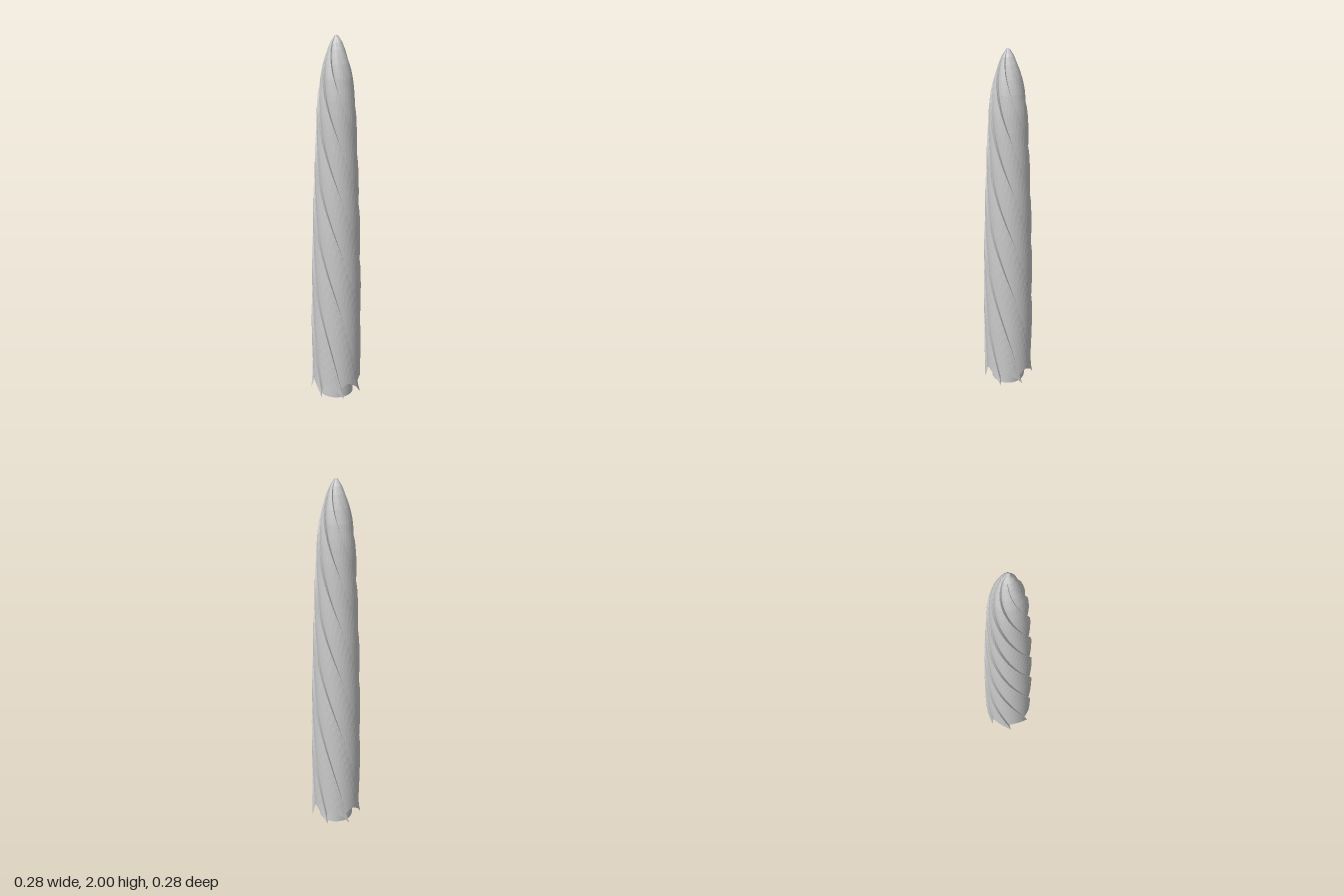
import * as THREE from 'three';

const PETALS = 7, ROWS = 44;
const PITCH = (Math.PI * 2) / PETALS;

// outer radius by height: [y, r]
const PROFILE = [
  [0, 0.136], [0.4, 0.137], [0.7, 0.134], [1, 0.127], [1.2, 0.12], [1.4, 0.111], [1.6, 0.102],
  [1.7, 0.095], [1.8, 0.082], [1.87, 0.065], [1.93, 0.045], [1.97, 0.028], [1.99, 0.017], [2, 0.008],
];
// one petal: [share of pitch, inward drop, height of the lower edge]
const SECTION = [
  [0, 0.75, 0.08], [0.15, 0.5, 0.095], [0.32, 0.25, 0.1], [0.5, 0.08, 0.085],
  [0.7, 0, 0.06], [0.88, 0, 0.015], [0.9, 1, 0.07],
];

function radiusAt(y) {
  let i = 1;
  while (i < PROFILE.length - 1 && PROFILE[i][0] < y) i++;
  const [y0, r0] = PROFILE[i - 1], [y1, r1] = PROFILE[i];
  return THREE.MathUtils.mapLinear(y, y0, y1, r0, r1);
}
const twistAt = (y) => 1.6 * y + 0.65 * y * y;

// saw-toothed, twisted and tapering skin with a pointed lower hem
function skinGeometry() {
  const pos = [], index = [];
  const cols = PETALS * SECTION.length;
  for (let j = 0; j <= ROWS; j++) {
    const t = j / ROWS;
    const v = 0.75 * t + 0.25 * Math.sin(t * Math.PI / 2); // closer rows near the tip
    for (let i = 0; i < cols; i++) {
      const [u, drop, hem] = SECTION[i % SECTION.length];
      const petal = Math.floor(i / SECTION.length);
      const y = hem + (2 - hem) * v;
      const outer = radiusAt(y);
      const depth = Math.min(0.011 + 0.003 * y, outer * 0.2);
      const flare = drop === 0 ? Math.max(0, 0.08 - y) * 0.12 : 0;
      const r = outer - depth * drop + flare;
      const a = Math.PI + (petal + u - 0.88) * PITCH - twistAt(y);
      pos.push(r * Math.sin(a), y, r * Math.cos(a));
    }
  }
  for (let j = 0; j < ROWS; j++) {
    for (let i = 0; i < cols; i++) {
      const n = (i + 1) % cols;
      const a = j * cols + i, b = j * cols + n;
      index.push(a, b, b + cols, a, b + cols, a + cols);
    }
  }
  const geo = new THREE.BufferGeometry();
  geo.setAttribute('position', new THREE.Float32BufferAttribute(pos, 3));
  geo.setIndex(index);
  const flat = geo.toNonIndexed();
  flat.computeVertexNormals();
  return flat;
}

export function createModel() {
  const group = new THREE.Group();
  group.name = 'twistedTower';
  const skinMat = new THREE.MeshStandardMaterial({ color: 0xcccccc, flatShading: true, side: THREE.DoubleSide });
  const coreMat = new THREE.MeshStandardMaterial({ color: 0xcccccc });

  const add = (name, geo, mat, y) => {
    const mesh = new THREE.Mesh(geo, mat);
    mesh.name = name;
    mesh.position.y = y;
    group.add(mesh);
    return mesh;
  };

  add('twistedSkin', skinGeometry(), skinMat, 0);
  // small flat cap on the tip
  add('tipCap', new THREE.CircleGeometry(0.008, 14).rotateX(-Math.PI / 2), skinMat, 2);
  // entrance core below the hem, and the ceiling around it
  add('entranceCore', new THREE.CylinderGeometry(0.094, 0.094, 0.12, 40), coreMat, 0.06);
  add('entranceCeiling', new THREE.RingGeometry(0.09, 0.123, 40).rotateX(Math.PI / 2), skinMat, 0.11);
  return group;
}
